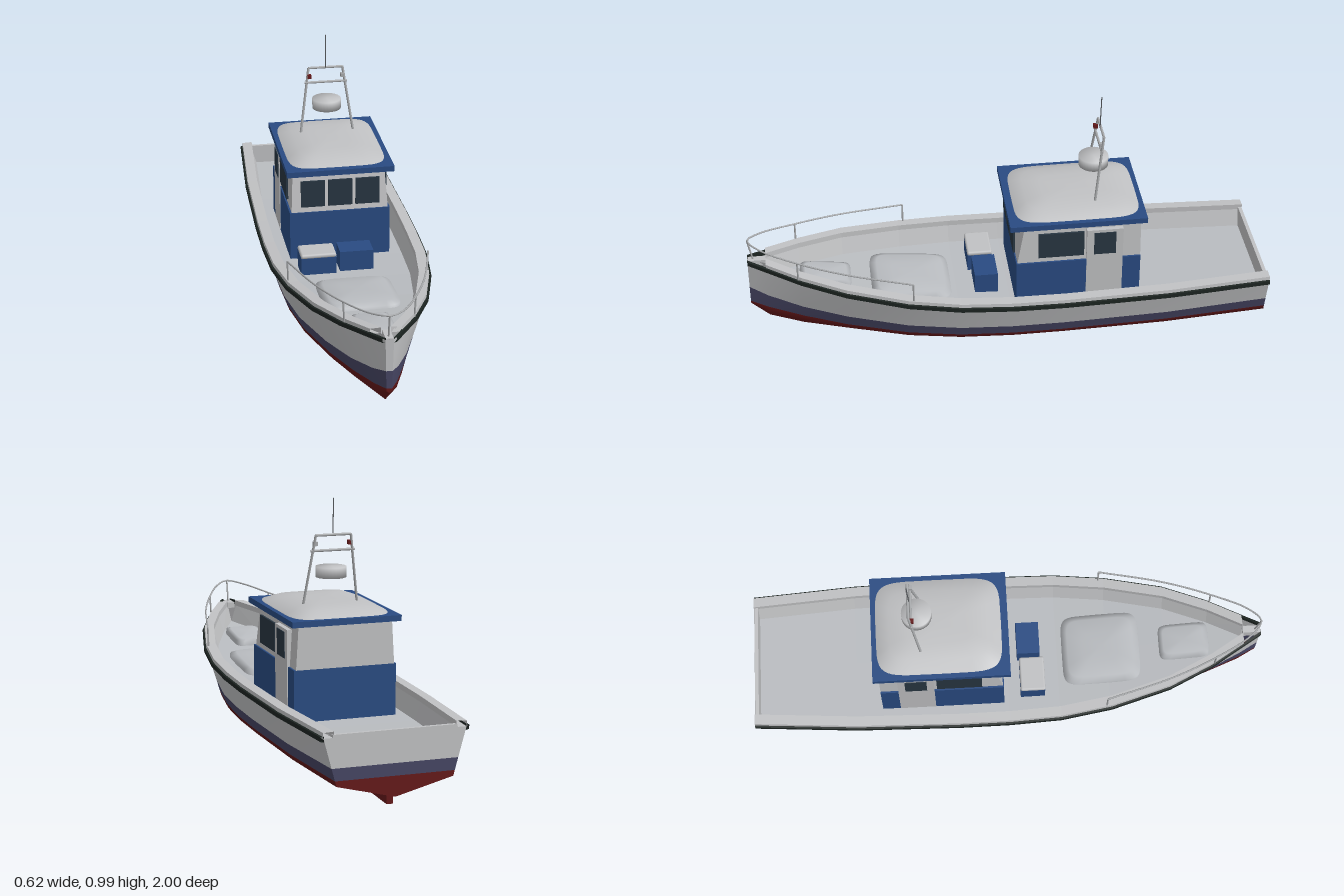
import * as THREE from 'three';
import { mergeVertices } from 'three/addons/utils/BufferGeometryUtils.js';
import { RoundedBoxGeometry } from 'three/addons/geometries/RoundedBoxGeometry.js';

const mat = (name, color, side = THREE.FrontSide) => {
  const m = new THREE.MeshStandardMaterial({ color, side });
  m.name = name;
  return m;
};

// Surface through rows of points; smooth or faceted
function grid(rows, smooth = true) {
  const n = rows[0].length, index = [];
  for (let i = 0; i < rows.length - 1; i++)
    for (let j = 0; j < n - 1; j++) {
      const a = i * n + j, b = a + n;
      index.push(a, b, a + 1, b, b + 1, a + 1);
    }
  let g = new THREE.BufferGeometry();
  g.setAttribute('position', new THREE.Float32BufferAttribute(rows.flat(2), 3));
  g.setIndex(index);
  g = smooth ? mergeVertices(g) : g.toNonIndexed();
  g.computeVertexNormals();
  return g;
}

// Rounded-rectangle dome from stacked rings of [halfX, halfZ, y]
function dome(rings, power = 0.4) {
  const p = v => Math.sign(v) * Math.abs(v) ** power;
  return grid(rings.map(([hx, hz, y]) => {
    const row = [];
    for (let i = 0; i <= 40; i++) {
      const t = (i % 40) / 40 * Math.PI * 2;
      row.push([hx * p(Math.cos(t)), y, hz * p(Math.sin(t))]);
    }
    return row;
  }));
}

// Hull stations: z, sheer half-width, sheer y, chine half-width, chine y, keel y, band top, bottom paint top
const STATIONS = [
  [-1, .262, .268, .215, .095, .04, .16, .115],
  [-.6, .29, .262, .238, .088, .015, .148, .105],
  [-.2, .3, .26, .245, .085, .003, .142, .1],
  [0, .3, .262, .245, .085, 0, .142, .1],
  [.2, .293, .27, .235, .087, .002, .146, .103],
  [.4, .265, .285, .205, .092, .006, .155, .11],
  [.63, .205, .312, .14, .1, .015, .172, .122],
  [.8, .13, .332, .085, .112, .035, .19, .138],
  [.93, .055, .35, .04, .13, .085, .215, .155],
  [1, .015, .36, .01, .158, .15, .237, .168],
];

export function createModel() {
  const boat = new THREE.Group();
  boat.name = 'boat';
  const D = THREE.DoubleSide;
  const white = mat('offWhite', 0xc0c1c3, D), deckGrey = mat('deckGrey', 0xb9bcc0, D);
  const navy = mat('bandNavy', 0x464563, D), red = mat('bottomRed', 0x641819, D);
  const black = mat('rubberBlack', 0x1c2421, D), blue = mat('cabinBlue', 0x294b82);
  const glass = mat('darkGlass', 0x283642), metal = mat('railMetal', 0xa9abad);
  const darkMetal = mat('antennaGrey', 0x5a5d61);

  const add = (name, geo, m, x = 0, y = 0, z = 0) => {
    const mesh = new THREE.Mesh(geo, m);
    mesh.name = name;
    mesh.position.set(x, y, z);
    boat.add(mesh);
    return mesh;
  };
  // Box from its limits
  const box = (name, m, x0, x1, y0, y1, z0, z1) =>
    add(name, new THREE.BoxGeometry(x1 - x0, y1 - y0, z1 - z0), m, (x0 + x1) / 2, (y0 + y1) / 2, (z0 + z1) / 2);
  const V = a => new THREE.Vector3(...a);
  const rod = (name, a, b, r, m = metal) => {
    const d = V(b).sub(V(a));
    const mesh = add(name, new THREE.CylinderGeometry(r, r, d.length(), 8), m);
    mesh.position.copy(V(a)).addScaledVector(d, .5);
    mesh.quaternion.setFromUnitVectors(new THREE.Vector3(0, 1, 0), d.normalize());
  };

  // Hull shell in painted strips
  const section = ([z, w, s, cw, cy, k, n, r]) => {
    const side = y => [cw + (w - cw) * (y - cy) / (s - cy), y, z];
    return [[0, k, z], [cw, cy, z], side(r), side(n), [w, s, z]];
  };
  const sections = STATIONS.map(section);
  const flip = ([x, y, z]) => [-x, y, z];
  const strips = [['bottom', red, 0, 2], ['band', navy, 2, 3], ['topside', white, 3, 4]];
  for (const [name, m, from, to] of strips) {
    const rows = sections.map(s => s.slice(from, to + 1));
    for (const f of [p => p, flip])
      add(name, grid(rows.map(r => r.map(f))), m);
    // Flat transom and stem faces
    for (const r of [rows[0], rows.at(-1)])
      add(name + 'End', grid(r.map(p => [flip(p), p]), false), m);
  }
  box('skeg', red, -.012, .012, 0, .05, -.95, -.54);

  // Rubbing strake, gunwale cap, bulwark lining and deck
  const deckY = s => s - .068;
  const inner = (w, d) => Math.max(0, w - d);
  const capped = STATIONS.slice(0, -1);
  const rim = {
    rubbingStrake: [black, STATIONS, (w, s) => [[w - .001, s - .013], [w + .01, s - .011], [w + .01, s + .005], [w - .001, s + .007], [w - .001, s - .013]]],
    gunwaleCap: [white, capped, (w, s) => [[inner(w, .038), s], [w + .003, s], [w + .001, s + .02], [inner(w, .038), s + .022], [inner(w, .038), s]]],
    bulwarkLining: [white, STATIONS, (w, s) => [[inner(w, .034), s + .002], [inner(w, .057), deckY(s)]]],
    deck: [deckGrey, STATIONS, (w, s) => [[inner(w, .057), deckY(s)], [0, deckY(s)]]],
  };
  for (const [name, [m, stations, profile]] of Object.entries(rim))
    for (const side of [-1, 1])
      add(name, grid(stations.map(([z, w, s]) => profile(w, s).map(([x, y]) => [x * side, y, z])), false), m);
  // Stem head
  box('stemHead', white, -.014, .014, .34, .363, .93, .998);
  box('transomLining', white, -.228, .228, .2, .278, -.998, -.984);

  // Foredeck trunk and hatch
  const trunk = add('foredeckTrunk', dome([[.145, .157, -.02], [.143, .154, .012], [.12, .13, .024], [.06, .07, .03], [0, 0, .031]], .3), deckGrey, 0, .215, .375);
  trunk.rotation.x = -.1;
  const hatch = add('foreHatch', dome([[.072, .1, -.02], [.07, .098, .02], [.055, .08, .027], [0, 0, .03]], .3), deckGrey, 0, .252, .705);
  hatch.rotation.x = -.12;

  // Deck boxes
  box('deckLocker', blue, -.025, .105, .18, .28, .04, .13);
  box('coolerBody', blue, -.178, -.042, .18, .268, .047, .143);
  add('coolerLid', new RoundedBoxGeometry(.138, .018, .098, 2, .008), white, -.11, .275, .095);

  // Cabin: blue base and tapered white upper
  box('cabinBase', blue, -.197, .197, .18, .388, -.5, -.02);
  const upper = new THREE.BoxGeometry(2, .17, 2), p = upper.attributes.position;
  for (let i = 0; i < p.count; i++) {
    const top = p.getY(i) > 0;
    p.setX(i, p.getX(i) * (top ? .18 : .19));
    p.setZ(i, p.getZ(i) < 0 ? -.5 : top ? -.055 : -.024);
  }
  upper.computeVertexNormals();
  add('cabinUpper', upper, white, 0, .47, 0);
  box('roofBrim', blue, -.21, .21, .549, .571, -.52, .005);
  add('roofDome', dome([[.194, .243, .565], [.19, .239, .574], [.14, .19, .594], [.08, .12, .601], [0, 0, .603]], .35), white, 0, 0, -.262);

  // Windows and doors
  for (const x of [-.107, 0, .107])
    box('frontWindow', glass, x - .047, x + .047, .414, .522, -.02, -.012);
  for (const s of [-1, 1]) {
    const plate = (name, m, x, y0, y1, z0, z1) =>
      box(name, m, s * x - .004, s * x + .004, y0, y1, z0, z1);
    plate('sideWindow', glass, .195, .412, .52, -.28, -.105);
    box('door', white, s * .188 - .012, s * .188 + .012, .2, .524, -.43, -.29);
    plate('doorWindow', glass, .199, .414, .512, -.402, -.318);
  }

  // Radar mast, lights, antenna and radar drum
  const mastAt = (s, t) => [s * (.105 - .037 * t), .597 + .258 * t, -.333 - .033 * t];
  for (const s of [-1, 1]) rod('mastLeg', mastAt(s, 0), mastAt(s, 1), .005);
  rod('mastTopBar', mastAt(-1, 1), mastAt(1, 1), .005);
  rod('mastLowerBar', [-.085, .797, -.358], [.085, .797, -.358], .005);
  box('redSideLight', red, -.074, -.059, .815, .83, -.365, -.348);
  box('paleSideLight', metal, .059, .074, .815, .83, -.365, -.348);
  rod('antenna', [0, .855, -.362], [0, .99, -.365], .002, darkMetal);
  const drum = [[0, .695], [.057, .695], [.057, .734], [0, .735]];
  add('radarDrum', new THREE.LatheGeometry(drum.map(q => new THREE.Vector2(...q)), 28), white, 0, 0, -.34);

  // Bow rail and posts
  const railSide = [[.265, .38, .38], [.2, .402, .63], [.13, .42, .81], [.055, .44, .95]];
  const path = [...railSide, [0, .449, .995], ...railSide.map(flip).reverse()].map(V);
  add('bowRail', new THREE.TubeGeometry(new THREE.CatmullRomCurve3(path), 60, .0035, 6), metal);
  for (const s of [-1, 1]) {
    rod('railPost', [s * .262, .28, .38], [s * .265, .38, .38], .0035);
    rod('railPost', [s * .125, .33, .81], [s * .13, .42, .81], .0035);
  }
  rod('bowPost', [0, .36, .978], [0, .449, .995], .0035);
  return boat;
}
